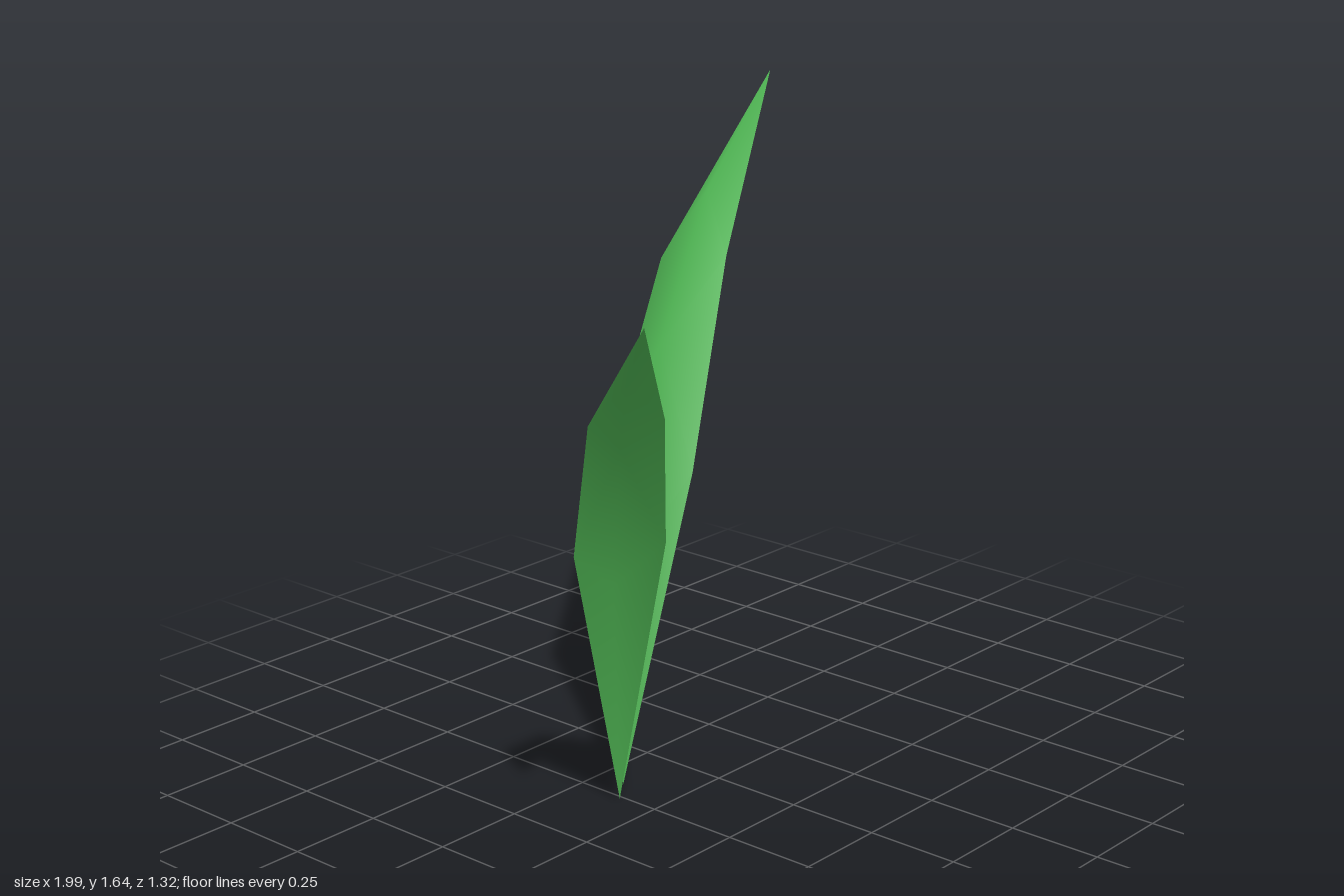
import * as THREE from 'three';

const leafGreen = new THREE.MeshStandardMaterial({ color: 0x4caf50, side: THREE.DoubleSide });
leafGreen.name = 'leafGreen';

// A bent, ridged blade: two outer edges joined to a raised midrib, all meeting at base and tip.
function makeLeaf(name, { base, tip, edgeA, edgeB, rib }) {
  const points = [base, ...rib, tip, ...edgeA, ...edgeB];
  const [B, M1, M2, M3, T, A1, A2, C1, C2] = points.keys();
  const index = [];
  // one half of the blade, zigzagging between the midrib and an edge
  const half = (e1, e2, flip) => {
    const faces = [[B, e1, M1], [M1, e1, M2], [e1, e2, M2], [M2, e2, M3], [e2, T, M3]];
    for (const [a, b, c] of faces) index.push(...(flip ? [a, c, b] : [a, b, c]));
  };
  half(A1, A2, false);
  half(C1, C2, true);

  const geometry = new THREE.BufferGeometry();
  geometry.setAttribute('position', new THREE.Float32BufferAttribute(points.flat(), 3));
  geometry.setIndex(index);
  geometry.computeVertexNormals();
  const leaf = new THREE.Mesh(geometry, leafGreen);
  leaf.name = name;
  return leaf;
}

export function createModel() {
  const group = new THREE.Group();
  group.name = 'sprout';

  // taller leaf leaning left and back
  group.add(makeLeaf('leftLeaf', {
    base: [-0.23, 0.025, -0.125],
    tip: [0.99, 1.64, -0.66],
    edgeA: [[0.06, 0.79, -0.14], [0.42, 1.26, -0.335]],
    edgeB: [[0.0, 0.75, -0.4], [0.38, 1.23, -0.53]],
    rib: [[-0.06, 0.6, -0.215], [0.16, 1.07, -0.34], [0.5, 1.405, -0.47]],
  }));

  // shorter leaf leaning right and forward
  group.add(makeLeaf('rightLeaf', {
    base: [-0.26, 0, -0.11],
    tip: [-1, 1.53, 0.66],
    edgeA: [[-0.56, 0.77, 0.03], [-0.79, 1.2, 0.3]],
    edgeB: [[-0.385, 0.79, 0.165], [-0.66, 1.21, 0.41]],
    rib: [[-0.37, 0.63, -0.02], [-0.6, 1.085, 0.22], [-0.75, 1.3, 0.38]],
  }));

  return group;
}
